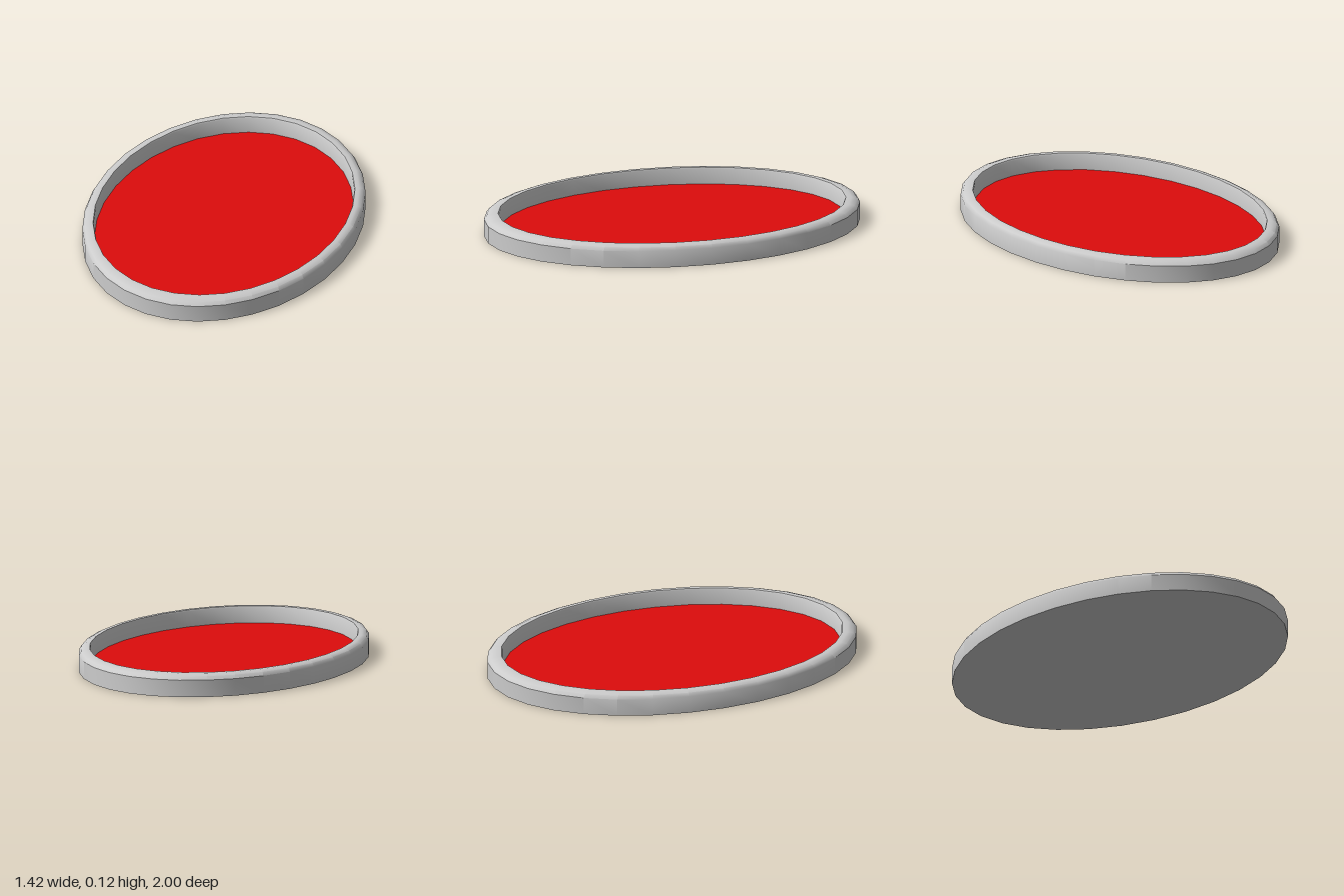
import * as THREE from 'three';
import { toCreasedNormals } from 'three/addons/utils/BufferGeometryUtils.js';

const SEGMENTS = 32;
const WIDTH = 0.71; // half width in x, the half length in z is 1
const FLOOR = 0.03;

// Flat oval facing up (+1) or down (-1)
function oval(radius, y, facing) {
  const g = new THREE.CircleGeometry(radius, SEGMENTS);
  g.rotateX(-facing * Math.PI / 2);
  g.scale(WIDTH, 1, 1);
  g.translate(0, y, 0);
  return g;
}

export function createModel() {
  const model = new THREE.Group();
  const grey = new THREE.MeshStandardMaterial({ color: 0xcccccc });
  const red = new THREE.MeshStandardMaterial({ color: 0xdd0c0c });

  const add = (name, geometry, material) => {
    const mesh = new THREE.Mesh(geometry, material);
    mesh.name = name;
    model.add(mesh);
  };

  // Raised rim: outer wall, rounded shoulder, top and inner wall
  const profile = [
    [1, 0], [1, 0.09], [0.985, 0.108], [0.955, 0.118],
    [0.925, 0.118], [0.92, 0.11], [0.914, FLOOR],
  ].map(([r, y]) => new THREE.Vector2(r, y));
  const rim = new THREE.LatheGeometry(profile, SEGMENTS);
  rim.scale(WIDTH, 1, 1);
  add('rim', toCreasedNormals(rim, 0.6), grey);

  // Coloured panel inside the rim
  add('panel', oval(0.914, FLOOR, 1), red);

  // Closed underside
  add('base', oval(1, 0, -1), grey);

  return model;
}
